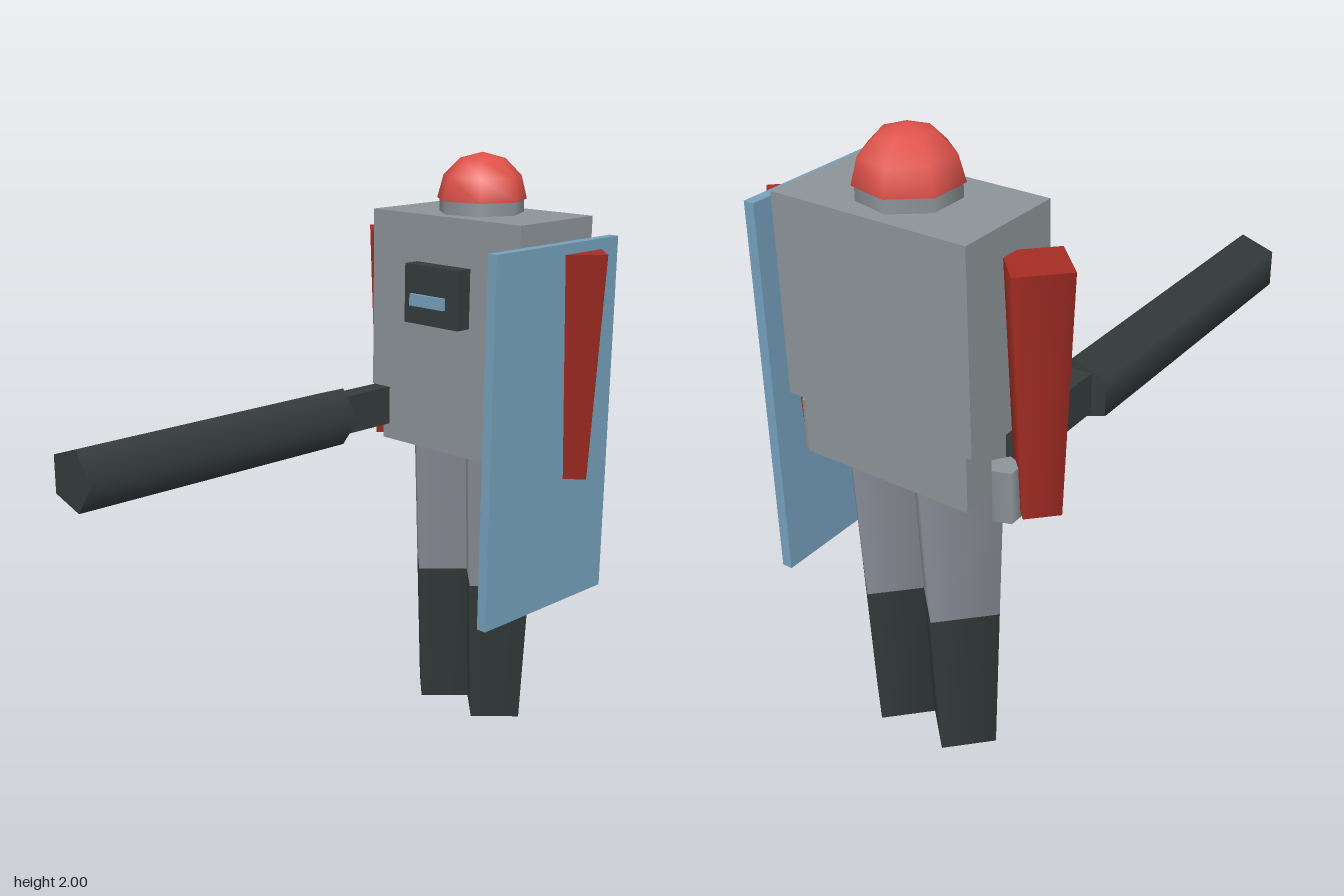
import * as THREE from 'three';

const mat = (name, color) => {
  const m = new THREE.MeshStandardMaterial({ color });
  m.name = name;
  return m;
};

export function createModel() {
  const model = new THREE.Group();
  model.name = 'shieldedGuard';

  const grey = mat('armourGrey', 0x8d9499);
  const legGrey = mat('trouserGrey', 0x8d919b);
  const dark = mat('charcoal', 0x353c3c);
  const red = mat('sleeveRed', 0xa62d24);
  const bright = mat('domeRed', 0xe0524a);
  const blue = mat('shieldBlue', 0x76a1bd);
  const Z = -0.657; // depth of the body centre

  const add = (name, geo, material, x, y, z) => {
    const mesh = new THREE.Mesh(geo, material);
    mesh.name = name;
    mesh.position.set(x, y, z);
    model.add(mesh);
    return mesh;
  };
  // box given by its extents on each axis
  const box = (name, material, [x0, x1], [y0, y1], [z0, z1]) =>
    add(name, new THREE.BoxGeometry(x1 - x0, y1 - y0, z1 - z0), material,
      (x0 + x1) / 2, (y0 + y1) / 2, (z0 + z1) / 2);
  // upright prism between two heights, one corner towards +x
  const prism = (name, material, sides, rTop, rBottom, y0, y1, x, z) =>
    add(name, new THREE.CylinderGeometry(rTop, rBottom, y1 - y0, sides).rotateY(Math.PI / 2),
      material, x, (y0 + y1) / 2, z);

  // torso
  box('torso', grey, [-0.325, 0.325], [1.18, 1.8], [-0.845, -0.47]);
  box('waist', grey, [-0.29, 0.29], [0.985, 1.18], [Z - 0.168, Z + 0.168]);
  box('chestUnit', dark, [-0.12, 0.12], [1.44, 1.64], [-0.475, -0.413]);
  box('chestScreen', blue, [-0.075, 0.075], [1.505, 1.545], [-0.4, -0.387]);

  // neck and domed helmet
  prism('neck', grey, 7, 0.147, 0.147, 1.78, 1.85, 0, Z);
  const dome = new THREE.SphereGeometry(0.156, 7, 3, 0, Math.PI * 2, 0, Math.PI / 2);
  add('helmetDome', dome.rotateY(Math.PI), bright, 0, 1.844, Z);
  const rim = new THREE.CircleGeometry(0.156, 7).rotateX(Math.PI / 2);
  add('helmetUnderside', rim, bright, 0, 1.844, Z);

  // arms, hands and legs
  for (const [side, s] of [['left', 1], ['right', -1]]) {
    prism(side + 'Arm', red, 4, 0.118, 0.078, 0.96, 1.71, s * 0.412, Z);
    prism(side + 'Hand', grey, 5, 0.047, 0.047, 0.94, 1.105, s * 0.345, -0.72);
    prism(side + 'Leg', legGrey, 4, 0.17, 0.147, 0.515, 0.99, s * 0.122, Z);
    prism(side + 'Boot', dark, 4, 0.147, 0.122, 0, 0.515, s * 0.122, Z);
  }

  // shield
  box('shield', blue, [0.4, 0.435], [0.52, 1.745], [-0.84, -0.225]);

  // baton pointing forward, corner towards +x
  box('batonHandle', dark, [-0.33, -0.26], [1.04, 1.175], [-0.64, -0.26]);
  const baton = new THREE.CylinderGeometry(0.105, 0.105, 1.1, 5)
    .rotateY(Math.PI / 2).rotateX(Math.PI / 2);
  add('baton', baton, dark, -0.295, 1.107, 0.29);

  return model;
}
